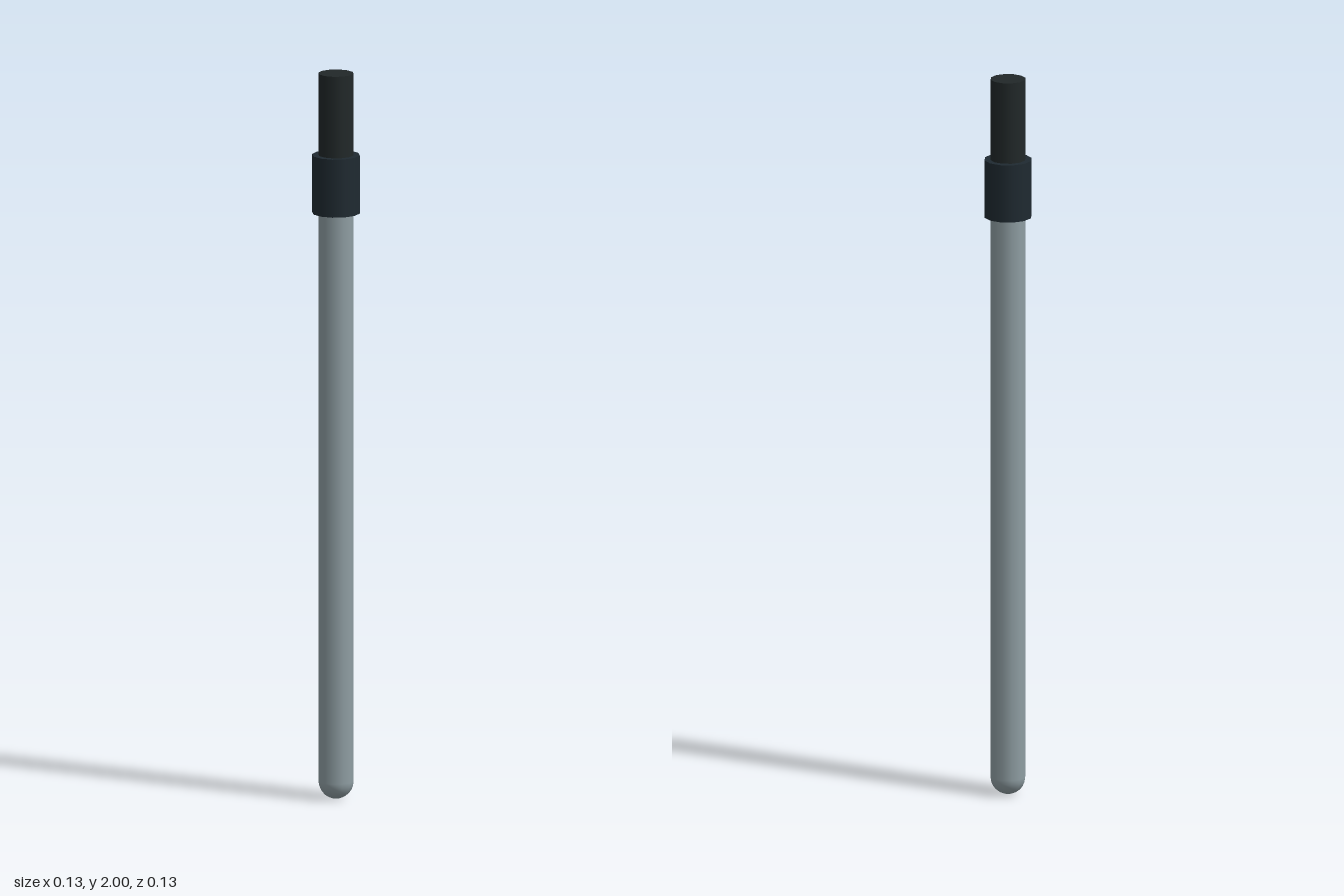
import * as THREE from 'three';

const SIDES = 12;

export function createModel() {
  const model = new THREE.Group();

  const add = (name, geometry, color, y) => {
    const mesh = new THREE.Mesh(geometry, new THREE.MeshStandardMaterial({ color }));
    mesh.name = name;
    mesh.position.y = y;
    model.add(mesh);
  };
  // Upright cylinder spanning two heights
  const cylinder = (name, radius, bottom, top, color, open = false) =>
    add(name, new THREE.CylinderGeometry(radius, radius, top - bottom, SIDES, 1, open), color, (bottom + top) / 2);

  const r = 0.048;

  // Round-ended shaft: hemispherical tip and straight wall, capped inside the collar
  const profile = [];
  for (let i = 0; i <= 6; i++) {
    const a = (i / 6) * Math.PI / 2;
    profile.push(new THREE.Vector2(r * Math.sin(a), r - r * Math.cos(a)));
  }
  profile.push(new THREE.Vector2(r, 1.65));
  add('shaft', new THREE.LatheGeometry(profile, SIDES), 0x8f9ea3, 0);

  // Wider collar and the dark stem above it
  cylinder('collar', 0.065, 1.615, 1.775, 0x1f2a31);
  cylinder('stem', r, 1.65, 2, 0x212829);

  return model;
}
